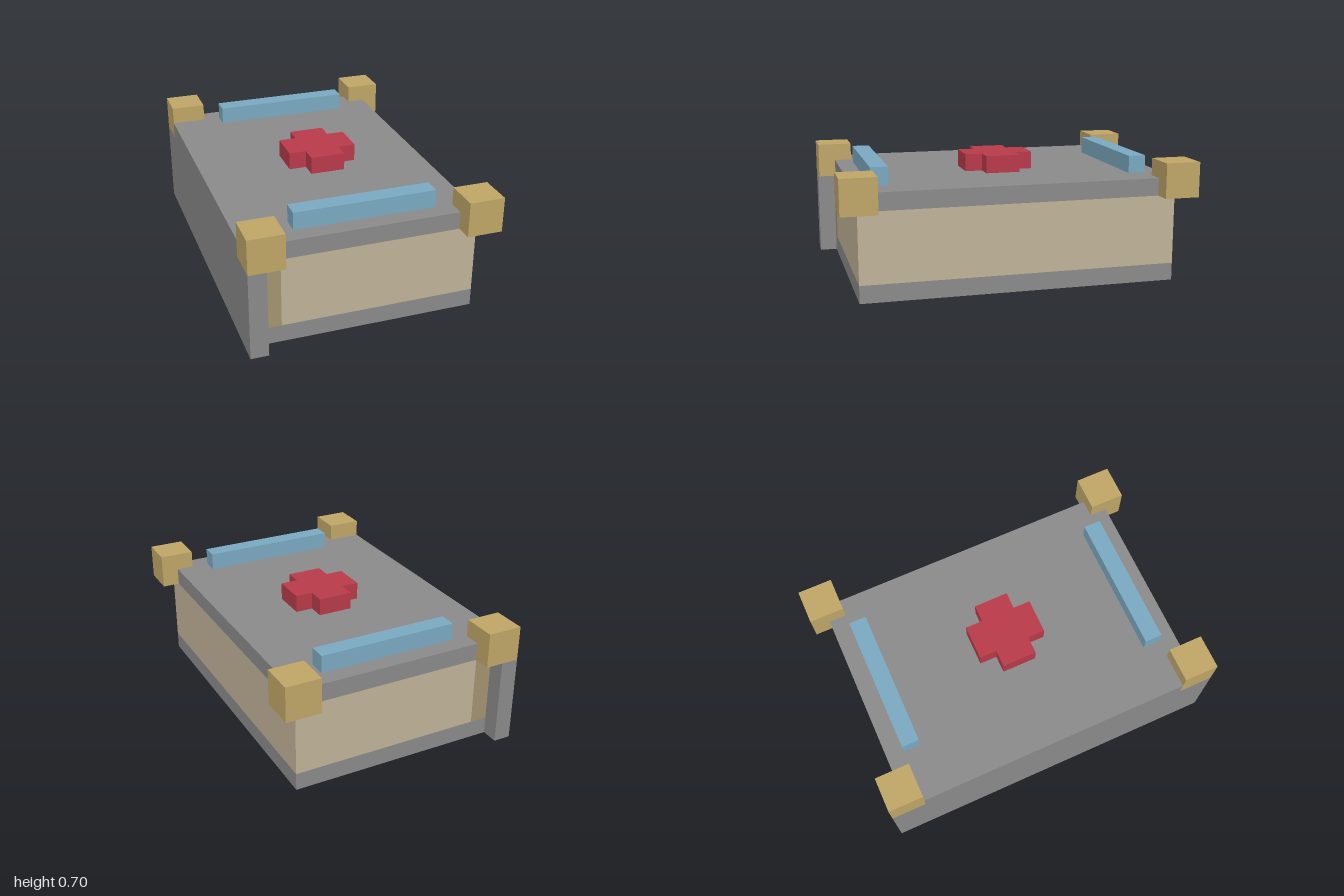
import * as THREE from 'three';

const mat = (name, color) => {
  const m = new THREE.MeshStandardMaterial({ color });
  m.name = name;
  return m;
};

export function createModel() {
  const model = new THREE.Group();
  model.name = 'supplyCrate';

  const grey = mat('grey', 0x8a8a8a);
  const beige = mat('beige', 0xbfb297);
  const darkBeige = mat('dark beige', 0xa39470);
  const gold = mat('gold', 0xbfa667);
  const blue = mat('blue', 0x7aa9c1);
  const red = mat('red', 0xb93a4a);

  const add = (name, geometry, material) => {
    const mesh = new THREE.Mesh(geometry, material);
    mesh.name = name;
    model.add(mesh);
    return mesh;
  };

  // Box given by its lower and upper corners
  const box = (name, material, [x0, y0, z0], [x1, y1, z1]) => {
    const mesh = add(name, new THREE.BoxGeometry(x1 - x0, y1 - y0, z1 - z0), material);
    mesh.position.set((x0 + x1) / 2, (y0 + y1) / 2, (z0 + z1) / 2);
  };

  // Flat slab 0.1 thick from an outline of [x, z] points
  const points = (list) => list.map(([x, z]) => new THREE.Vector2(x, -z));
  const slab = (name, material, outline, y, hole) => {
    const shape = new THREE.Shape(points(outline));
    if (hole) shape.holes.push(new THREE.Path(points(hole)));
    const geometry = new THREE.ExtrudeGeometry(shape, { depth: 0.1, bevelEnabled: false });
    geometry.rotateX(-Math.PI / 2);
    add(name, geometry, material).position.y = y;
  };

  // Floor with a square opening underneath
  slab('floor', grey,
    [[-0.6, 0.9], [0.6, 0.9], [0.6, -0.9], [-0.6, -0.9]], 0,
    [[-0.4, 0.4], [-0.4, 0.6], [-0.2, 0.6], [-0.2, 0.4]]);

  // Body band and its darker edge by the side wall
  box('body', beige, [-0.5, 0.1, -0.9], [0.6, 0.5, 0.9]);
  box('bodyEdge', darkBeige, [-0.6, 0.1, -0.9], [-0.5, 0.5, 0.9]);

  // Side wall, projecting past both ends
  box('sideWall', grey, [-0.7, 0, -1], [-0.6, 0.5, 1]);

  // Lid, notched around the corner blocks
  slab('lid', grey, [
    [-0.7, 0.8], [-0.5, 0.8], [-0.5, 0.9], [0.5, 0.9], [0.5, 0.8], [0.6, 0.8],
    [0.6, -0.8], [0.5, -0.8], [0.5, -0.9], [-0.5, -0.9], [-0.5, -0.8], [-0.7, -0.8],
  ], 0.5);

  // Corner blocks
  for (const x of [-0.6, 0.6]) {
    for (const z of [-0.9, 0.9]) {
      box('cornerBlock', gold, [x - 0.1, 0.5, z - 0.1], [x + 0.1, 0.7, z + 0.1]);
    }
  }

  // Bars across the lid
  for (const z of [-0.75, 0.75]) {
    box('lidBar', blue, [-0.4, 0.6, z - 0.05], [0.4, 0.7, z + 0.05]);
  }

  // Raised cross in the middle of the lid
  slab('cross', red, [
    [-0.2, 0.1], [-0.1, 0.1], [-0.1, 0.2], [0.1, 0.2], [0.1, 0.1], [0.2, 0.1],
    [0.2, -0.1], [0.1, -0.1], [0.1, -0.2], [-0.1, -0.2], [-0.1, -0.1], [-0.2, -0.1],
  ], 0.6);

  return model;
}
